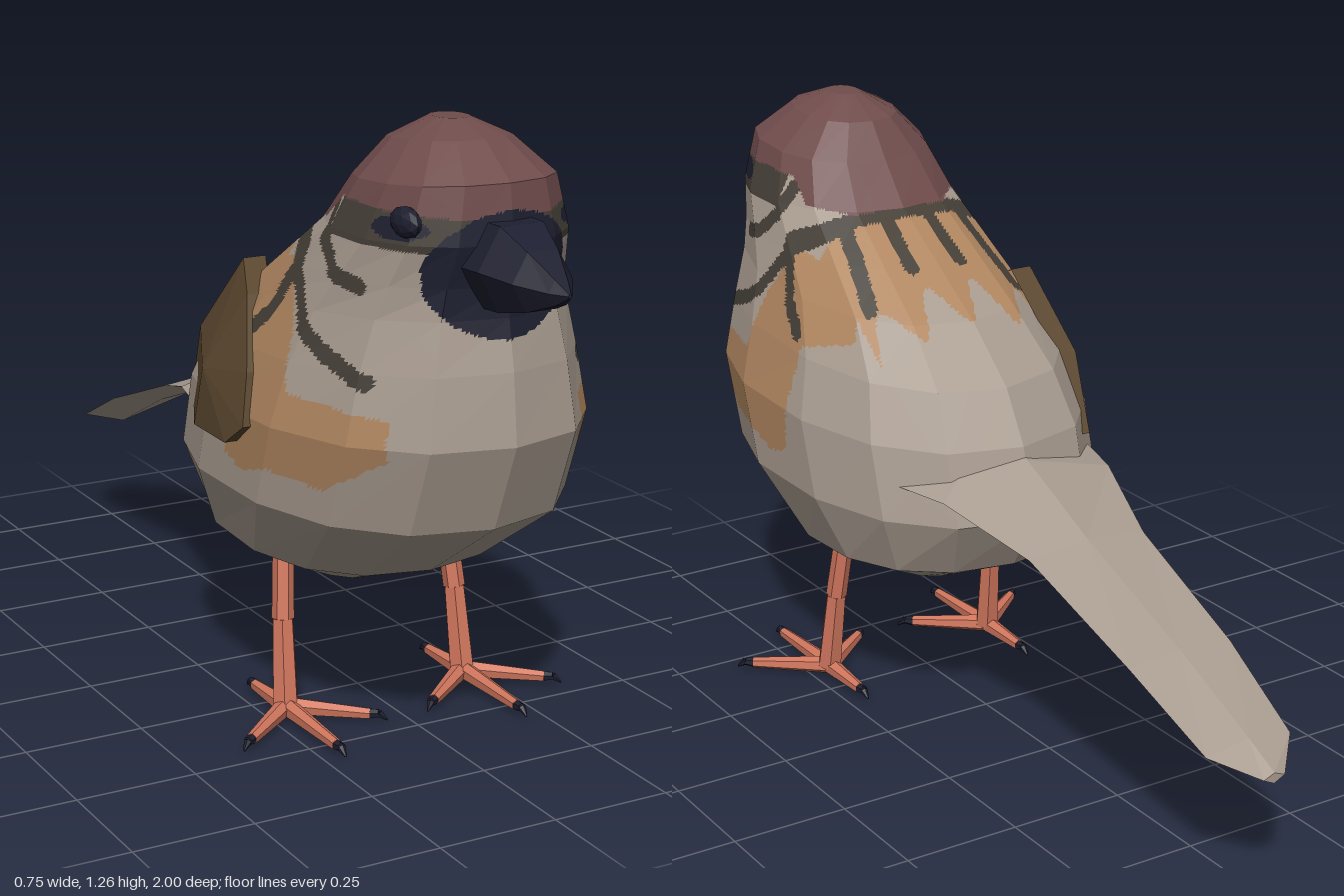
import * as THREE from 'three';

const mat = (name, color, side = THREE.FrontSide) => {
  const m = new THREE.MeshStandardMaterial({ color, side });
  m.name = name;
  return m;
};
const V = (x, y, z) => new THREE.Vector3(x, y, z);

// Triangles of a closed skin through rings of equal point count
function loft(rings) {
  const tris = [], n = rings[0].length;
  const mid = r => r.reduce((s, p) => s.add(p), V(0, 0, 0)).divideScalar(n);
  const last = rings[rings.length - 1], c0 = mid(rings[0]), c1 = mid(last);
  for (let j = 0; j < n; j++) {
    const k = (j + 1) % n;
    for (let i = 0; i < rings.length - 1; i++) {
      const a = rings[i], b = rings[i + 1];
      tris.push([a[j], a[k], b[k]], [a[j], b[k], b[j]]);
    }
    tris.push([c0, rings[0][k], rings[0][j]], [c1, last[j], last[k]]);
  }
  return tris;
}

// Unshared corners give flat facets
function facets(tris) {
  const g = new THREE.BufferGeometry().setFromPoints(tris.flat());
  g.computeVertexNormals();
  return g;
}
function flat(g) {
  const f = g.index ? g.toNonIndexed() : g;
  f.computeVertexNormals();
  return f;
}

// Split a triangle into n * n smaller ones in the same plane
function split([a, b, c], n, out) {
  const at = (i, j) => a.clone().addScaledVector(b.clone().sub(a), i / n).addScaledVector(c.clone().sub(a), j / n);
  for (let i = 0; i < n; i++) for (let j = 0; j < n - i; j++) {
    out.push([at(i, j), at(i + 1, j), at(i, j + 1)]);
    if (i + j < n - 1) out.push([at(i + 1, j), at(i + 1, j + 1), at(i, j + 1)]);
  }
}

// Plumage pattern tools: strokes and areas in a plane
function nearLine(u, v, pts, r) {
  for (let i = 0; i < pts.length - 1; i++) {
    const [ax, ay] = pts[i], dx = pts[i + 1][0] - ax, dy = pts[i + 1][1] - ay;
    const t = THREE.MathUtils.clamp(((u - ax) * dx + (v - ay) * dy) / (dx * dx + dy * dy), 0, 1);
    if (Math.hypot(u - ax - t * dx, v - ay - t * dy) < r) return true;
  }
  return false;
}
function inside(u, v, pts) {
  let hit = false;
  for (let i = 0, j = pts.length - 1; i < pts.length; j = i++) {
    const [ax, ay] = pts[i], [bx, by] = pts[j];
    if ((ay > v) !== (by > v) && u < (bx - ax) * (v - ay) / (by - ay) + ax) hit = !hit;
  }
  return hit;
}

// Side marks as (z, y), back marks as (|x|, z)
const CAP = [[0.9, 1.105], [0.6, 1.115], [0.5, 1.11], [0.44, 1.06], [0.35, 1.045], [0.2, 1.1], [0.3, 1.4], [0.9, 1.4]];
const FLANK = [[0.4, 0.98], [0.2, 0.93], [0.15, 0.83], [0.28, 0.8], [0.29, 0.57], [0.36, 0.55], [0.45, 0.58],
  [0.6, 0.57], [0.73, 0.65], [0.73, 0.73], [0.6, 0.74], [0.5, 0.74], [0.47, 0.86]];
const SIDE_STROKES = [
  [[0.35, 1.01], [0.42, 0.97], [0.5, 0.87], [0.56, 0.835], [0.68, 0.795]],
  [[0.63, 0.965], [0.56, 0.98], [0.5, 1.03], [0.485, 1.09]],
  [[0.41, 0.95], [0.37, 0.87], [0.31, 0.82]],
];
const BACK_STROKES = [
  [[0, 0.325], [0.1, 0.335], [0.19, 0.37], [0.23, 0.43]],
  [[0.05, 0.34], [0.06, 0.2]],
  [[0.14, 0.35], [0.155, 0.27], [0.18, 0.17]],
];

// Index into [plumage, cap, markings, mask, flank]
function plumage({ x, y, z }) {
  const ax = Math.abs(x);
  if (Math.hypot((z - 0.7) / 0.055, (y - 1.085) / 0.022) < 1 && ax > 0.1) return 3;
  if (z > 0.74 && Math.hypot(x / 0.155, (y - 1.0) / 0.12) < 1) return 3;
  if (inside(z, y, CAP)) return 1;
  if (y > 1.045 && y < 1.12 && z > 0.51) return 2;
  if (ax > 0.12 && SIDE_STROKES.some(s => nearLine(z, y, s, 0.016))) return 2;
  if (y > 0.8 && z < 0.46 && BACK_STROKES.some(s => nearLine(ax, z, s, 0.016))) return 2;
  if (ax > 0.17 && inside(z, y, FLANK)) return 4;
  if (y > 0.8 && ax < 0.21 && z < 0.335 && z > 0.1 - 0.05 * Math.cos(x * 55)) return 4;
  return 0;
}

export function createModel() {
  const grey = mat('greyPlumage', 0xa99c90, THREE.DoubleSide);
  const cap = mat('chestnutCap', 0x704c4c);
  const dark = mat('darkMarkings', 0x453f37);
  const navy = mat('blackMask', 0x1e1f30);
  const tan = mat('tanFlank', 0xb08660);
  const brown = mat('wingBrown', 0x5b472f, THREE.DoubleSide);
  const coral = mat('legCoral', 0xd0765d);

  const model = new THREE.Group();
  const add = (name, geometry, material, parent = model) => {
    const m = new THREE.Mesh(geometry, material);
    m.name = name;
    parent.add(m);
    return m;
  };

  // Body and head: tilted rings [front z, front y, back z, back y, half width]
  const pow = v => Math.sign(v) * Math.abs(v) ** 0.88;
  const rings = [
    [0.32, 0.262, 0.1, 0.278, 0.1], [0.54, 0.345, -0.11, 0.375, 0.275], [0.77, 0.5, -0.185, 0.5, 0.332],
    [0.84, 0.68, -0.145, 0.65, 0.333], [0.825, 0.82, -0.08, 0.76, 0.298], [0.805, 0.92, 0.05, 0.87, 0.262],
    [0.8, 0.98, 0.19, 0.96, 0.24], [0.815, 1.06, 0.33, 1.05, 0.216], [0.8, 1.17, 0.405, 1.14, 0.18],
    [0.71, 1.235, 0.46, 1.215, 0.108], [0.63, 1.262, 0.54, 1.26, 0.035],
  ].map(([zf, yf, zb, yb, w]) => Array.from({ length: 14 }, (_, i) => {
    const a = i / 14 * Math.PI * 2, t = (pow(Math.cos(a)) + 1) / 2;
    return V(w * pow(Math.sin(a)), yb + (yf - yb) * t, zb + (zf - zb) * t);
  }));
  const bins = [[], [], [], [], []], pieces = [];
  loft(rings).forEach(t => split(t, 16, pieces));
  pieces.forEach(t => bins[plumage(V(0, 0, 0).add(t[0]).add(t[1]).add(t[2]).divideScalar(3))].push(t));
  const bodyGeo = facets(bins.flat());
  let start = 0;
  bins.forEach((b, i) => {
    bodyGeo.addGroup(start, b.length * 3, i);
    start += b.length * 3;
  });
  add('body', bodyGeo, [grey, cap, dark, navy, tan]);

  // Tail: diamond sections [z, half width, edge y, top y, bottom y]
  const tailRings = [
    [-1, 0.025, 0.262, 0.272, 0.25], [-0.92, 0.1, 0.295, 0.31, 0.265], [-0.7, 0.122, 0.395, 0.405, 0.375],
    [-0.38, 0.14, 0.51, 0.527, 0.495], [-0.16, 0.205, 0.572, 0.625, 0.52], [-0.03, 0.238, 0.575, 0.67, 0.53],
  ].map(([z, w, e, t, b]) => [V(w, e, z), V(0, t, z), V(-w, e, z), V(0, b, z)]);
  add('tail', facets(loft(tailRings)), grey);

  // Beak: six-sided sections [z, half width, centre y, half height]
  const beakRings = [
    [0.76, 0.095, 1.02, 0.082], [0.84, 0.092, 1.022, 0.08], [0.91, 0.064, 1.012, 0.055],
    [0.97, 0.026, 1.004, 0.024], [1, 0.004, 1.003, 0.004],
  ].map(([z, w, y, h]) => Array.from({ length: 6 }, (_, i) => {
    const a = i / 6 * Math.PI * 2;
    return V(w * Math.cos(a), y + h * Math.sin(a) / 0.866, z);
  }));
  add('beak', facets(loft(beakRings)), navy);

  // Raised eye on the right, the other lies flush
  const eye = add('eye', flat(new THREE.IcosahedronGeometry(1, 1)), navy);
  eye.scale.set(0.022, 0.03, 0.045);
  eye.position.set(-0.172, 1.1, 0.72);

  // Single folded wing on the right side
  const rim = [[-0.225, 0.61, -0.06], [-0.255, 0.76, 0.04], [-0.222, 0.925, 0.17], [-0.27, 0.88, 0.28],
    [-0.318, 0.75, 0.37], [-0.343, 0.65, 0.4], [-0.352, 0.605, 0.34], [-0.335, 0.595, 0.17]].map(p => V(...p));
  const hub = V(-0.33, 0.72, 0.2), wing = [];
  rim.forEach((p, i) => {
    const q = rim[(i + 1) % rim.length], pi = p.clone().add(V(0.05, 0, 0)), qi = q.clone().add(V(0.05, 0, 0));
    wing.push([hub, p, q], [p, qi, q], [p, pi, qi]);
  });
  add('wing', facets(wing), brown);

  // Legs and feet
  const limb = (name, a, b, r0, r1, material, parent) => {
    const d = b.clone().sub(a);
    const m = add(name, flat(new THREE.CylinderGeometry(r1, r0, d.length(), 6)), material, parent);
    m.position.copy(a).addScaledVector(d, 0.5);
    m.quaternion.setFromUnitVectors(V(0, 1, 0), d.normalize());
  };
  for (const s of [1, -1]) {
    const leg = new THREE.Group();
    leg.name = s > 0 ? 'leftLeg' : 'rightLeg';
    model.add(leg);
    const ankle = V(s * 0.21, 0.02, 0.325), knee = V(s * 0.203, 0.2, 0.3);
    limb('upperLeg', V(s * 0.185, 0.42, 0.268), knee, 0.021, 0.023, coral, leg);
    limb('lowerLeg', knee, ankle, 0.023, 0.028, coral, leg);
    for (const [x, z] of [[0.21, 0.54], [0.345, 0.435], [0.075, 0.435], [0.21, 0.19]]) {
      const tip = V(s * x, 0.016, z), out = tip.clone().sub(ankle).setY(0).normalize();
      const bend = tip.clone().addScaledVector(out, 0.018).setY(0.018);
      limb('toe', ankle, tip, 0.02, 0.012, coral, leg);
      limb('claw', tip, bend, 0.011, 0.009, navy, leg);
      limb('clawTip', bend, bend.clone().addScaledVector(out, 0.018).setY(0.005), 0.009, 0.002, navy, leg);
    }
  }
  return model;
}
